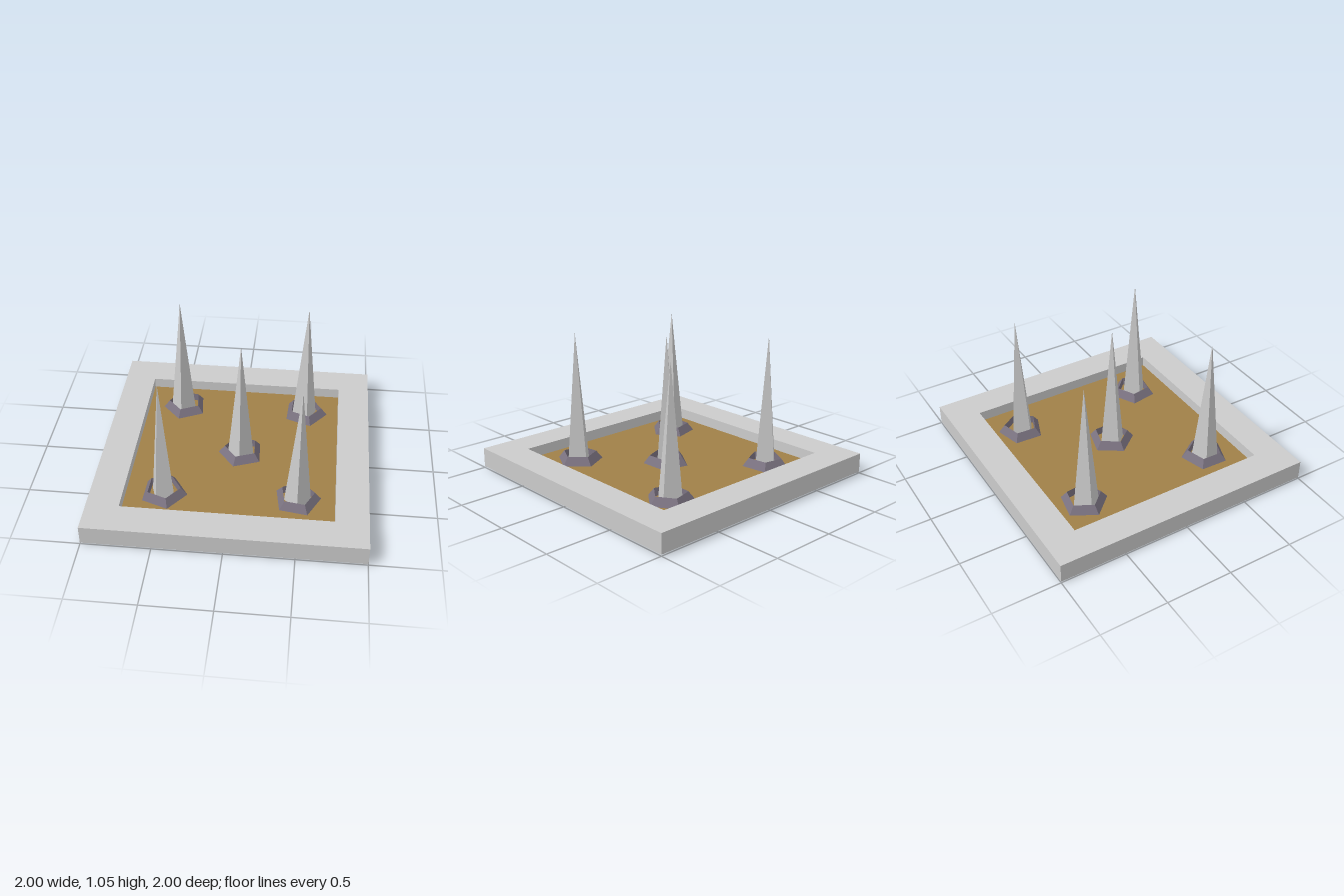
import * as THREE from 'three';

const flat = (color) => new THREE.MeshStandardMaterial({ color, flatShading: true, side: THREE.DoubleSide });
const points = (list) => list.map(([r, y]) => new THREE.Vector2(r, y));

export function createModel() {
  const model = new THREE.Group();
  const grey = flat(0xcccccc);
  const brown = flat(0xa08048);
  const stone = flat(0x7a7280);
  const floorY = 0.075;

  const add = (name, geometry, material, parent = model) => {
    const mesh = new THREE.Mesh(geometry, material);
    mesh.name = name;
    parent.add(mesh);
    return mesh;
  };

  // Square frame, hollow underneath: outer wall, flat top, inner wall
  const k = Math.SQRT2;
  const frame = new THREE.LatheGeometry(
    points([[k, 0.01], [k, 0.155], [0.762 * k, 0.155], [0.762 * k, floorY]]), 4, Math.PI / 4);
  add('frame', frame, grey);

  // Sunken floor
  const floor = add('floor', new THREE.PlaneGeometry(1.524, 1.524), brown);
  floor.rotation.x = -Math.PI / 2;
  floor.position.y = floorY;

  // Five-sided collar with a sloping outside, and an open four-sided spike
  const collarShape = new THREE.LatheGeometry(points([[0.174, 0], [0.127, 0.06], [0.122, 0]]), 5);
  const spikeShape = new THREE.ConeGeometry(0.105, 1.055, 4, 1, true);
  spikeShape.translate(0, 0.5275, 0);

  // Spike x, z, turn; collar x, z, turn (degrees from +x towards +z)
  const spots = [
    [0.03, 0.01, 0, 0.035, 0.006, 177.5],
    [-0.485, -0.515, 5, -0.472, -0.525, 173],
    [0.49, -0.53, -17, 0.5, -0.533, 2.5],
    [-0.485, 0.512, 27, -0.485, 0.507, 2],
    [0.49, 0.493, 0, 0.487, 0.484, -81],
  ];
  const turn = (degrees) => Math.PI / 2 - THREE.MathUtils.degToRad(degrees);
  for (const [sx, sz, sTurn, cx, cz, cTurn] of spots) {
    const group = new THREE.Group();
    group.name = 'spikeAndCollar';
    model.add(group);
    const spike = add('spike', spikeShape, grey, group);
    spike.position.set(sx, 0, sz);
    spike.rotation.y = turn(sTurn);
    const collar = add('collar', collarShape, stone, group);
    collar.position.set(cx, floorY, cz);
    collar.rotation.y = turn(cTurn);
  }
  return model;
}
